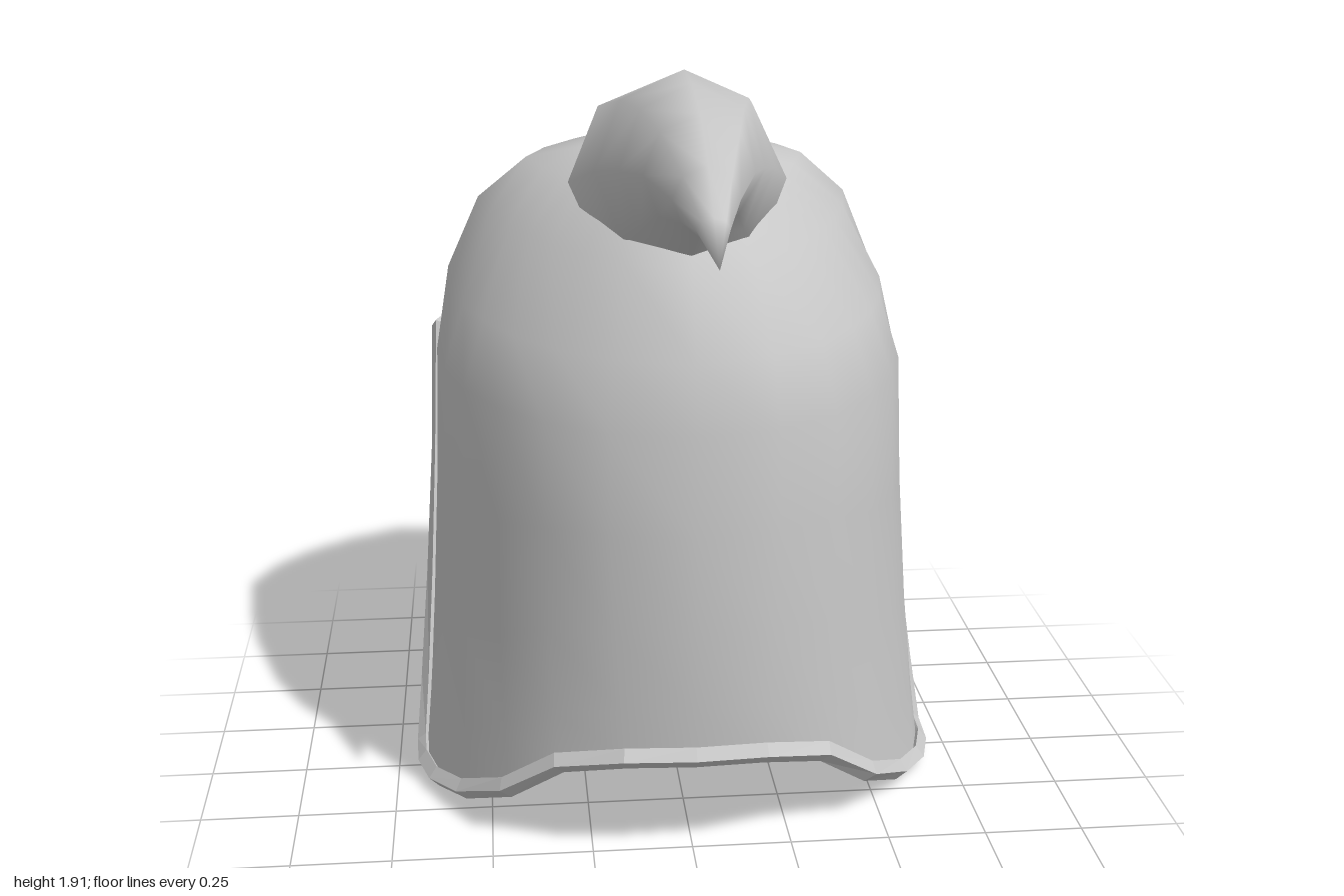
import * as THREE from 'three';
import { mergeGeometries, mergeVertices } from 'three/addons/utils/BufferGeometryUtils.js';

const V = (x, y, z) => new THREE.Vector3(x, y, z);
const mirror = (p) => V(-p.x, p.y, p.z);
const { lerp } = THREE.MathUtils;

// Skin a list of rows of points; columns may close into a ring
function skin(rows, closed) {
  const pos = [];
  const n = rows[0].length;
  for (let r = 0; r + 1 < rows.length; r++) {
    for (let c = 0; c < (closed ? n : n - 1); c++) {
      const d = (c + 1) % n;
      const [p, q, s, t] = [rows[r][c], rows[r][d], rows[r + 1][d], rows[r + 1][c]];
      for (const v of [p, t, s, p, s, q]) pos.push(v.x, v.y, v.z);
    }
  }
  const g = new THREE.BufferGeometry();
  g.setAttribute('position', new THREE.Float32BufferAttribute(pos, 3));
  g.computeVertexNormals();
  return g;
}

// Weld corners so the surface shades smoothly
function smooth(g) {
  g.deleteAttribute('normal');
  const m = mergeVertices(g, 1e-4);
  m.computeVertexNormals();
  return m;
}

export function createModel() {
  const group = new THREE.Group();
  const steel = new THREE.MeshStandardMaterial({ color: 0xc8c8c8, side: THREE.DoubleSide });
  steel.name = 'grey';
  const add = (name, geometry) => {
    const mesh = new THREE.Mesh(geometry, steel);
    mesh.name = name;
    group.add(mesh);
    return mesh;
  };

  // Half outline at brow height, front centre round to back centre (x, z)
  const brow = [[0, 0.585], [0.2, 0.545], [0.35, 0.44], [0.46, 0.31], [0.54, 0.15], [0.59, -0.02],
    [0.612, -0.22], [0.605, -0.43], [0.535, -0.62], [0.4, -0.78], [0.21, -0.89], [0, -0.965]];
  // Half lower edge, front centre to cheek corner
  const hem = [[0, 0.295, 0.58], [0.17, 0.295, 0.57], [0.33, 0.25, 0.49], [0.46, 0.14, 0.4],
    [0.57, 0.06, 0.25], [0.64, 0.035, 0.13], [0.67, 0.03, 0.02], [0.675, 0.03, -0.1]].map((p) => V(...p));

  // Dome: brow outline shrinking toward the apex, keeled at the front
  // and hollowed at the front quarters
  const scale = [0, 0.33, 0.62, 0.83, 0.965, 1];
  const hollow = [0, 0.11, 0.18, 0.15, 0.065, 0];
  const hollowAt = [0, 0.5, 0.85, 1, 1, 0.85, 0.5, 0.1, 0.2, 0.25, 0.1, 0];
  const yFront = [1.675, 1.645, 1.6, 1.48, 1.28, 1.115];
  const yBack = [1.675, 1.69, 1.64, 1.53, 1.33, 1.14];
  const apexZ = -0.1;
  const domeHalf = scale.map((full, r) => brow.map(([x, z], i) => {
    const s = full - hollow[r] * hollowAt[i];
    return V(x * s, lerp(yFront[r], yBack[r], (i / 11) ** 3), apexZ + (z - apexZ) * s);
  }));
  const ring = (half) => [...half, ...half.slice(1, -1).reverse().map(mirror)];
  const dome = skin(domeHalf.map(ring), true);

  // Skirt: from the brow down to the hem, open at the face; the front
  // swells in the middle and flares late, the cheeks flare evenly
  const browHalf = domeHalf[5].slice(0, 8);
  const skirtHalf = [0, 0.3, 0.6, 0.85, 1].map((t) => browHalf.map((p, i) => {
    const flare = t ** lerp(2.2, 1.5, i / 7);
    const swell = 1 + 0.028 * Math.sin(Math.PI * t) * (1 - i / 7);
    return V(lerp(p.x, hem[i].x, flare) * swell, lerp(p.y, hem[i].y, t),
      apexZ + (lerp(p.z, hem[i].z, flare) - apexZ) * swell);
  }));
  const span = (half) => [...half.slice(1).reverse().map(mirror), ...half];
  const skirt = skin(skirtHalf.map(span), false);
  add('helmetShell', smooth(mergeGeometries([dome, skirt])));

  // Rim: ridged band along hem, cheek edge and brow
  const edge = ring([...hem, ...[3, 2, 1].map((r) => skirtHalf[r][7]), ...domeHalf[5].slice(7)]);
  const section = [[0, 0.028], [0.028, 0], [0.005, -0.028], [-0.015, 0]];
  const rimRows = edge.map((p, i) => {
    const before = p.clone().sub(edge[(i + edge.length - 1) % edge.length]).normalize();
    const T = edge[(i + 1) % edge.length].clone().sub(p).normalize().add(before).normalize();
    const N = V(p.x, 0, p.z - apexZ).normalize();
    N.addScaledVector(T, -N.dot(T)).normalize();
    const B = T.clone().cross(N);
    return section.map(([n, b]) => p.clone().addScaledVector(N, n).addScaledVector(B, b));
  });
  add('rim', skin([...rimRows, rimRows[0]], true));

  // Horn: octagonal sections [top z, top y, bottom z, bottom y, half width]
  const horn = [[0, 1.865, 0.18, 1.37, 0.27], [0.25, 1.91, 0.31, 1.45, 0.215], [0.43, 1.905, 0.45, 1.515, 0.168],
    [0.61, 1.865, 0.58, 1.595, 0.125], [0.77, 1.78, 0.72, 1.63, 0.075], [0.89, 1.695, 0.86, 1.64, 0.037],
    [1, 1.61, 1, 1.61, 0]];
  const hornRows = horn.map(([tz, ty, bz, by, w]) => Array.from({ length: 8 }, (_, k) => {
    const a = k * Math.PI / 4, c = Math.cos(a) / 2;
    return V(w * Math.sin(a), (ty + by) / 2 + c * (ty - by), (tz + bz) / 2 + c * (tz - bz));
  }));
  add('horn', smooth(skin(hornRows, true)));
  const centre = Array.from({ length: 8 }, () => V(0, 1.6175, 0.09));
  add('hornBase', skin([centre, hornRows[0]], true));

  // Small disc hanging under the brow
  const knob = add('browKnob', new THREE.CylinderGeometry(0.07, 0.07, 0.05, 12));
  knob.rotation.x = Math.PI / 2;
  knob.position.set(0, 1.08, -0.93);

  return group;
}
